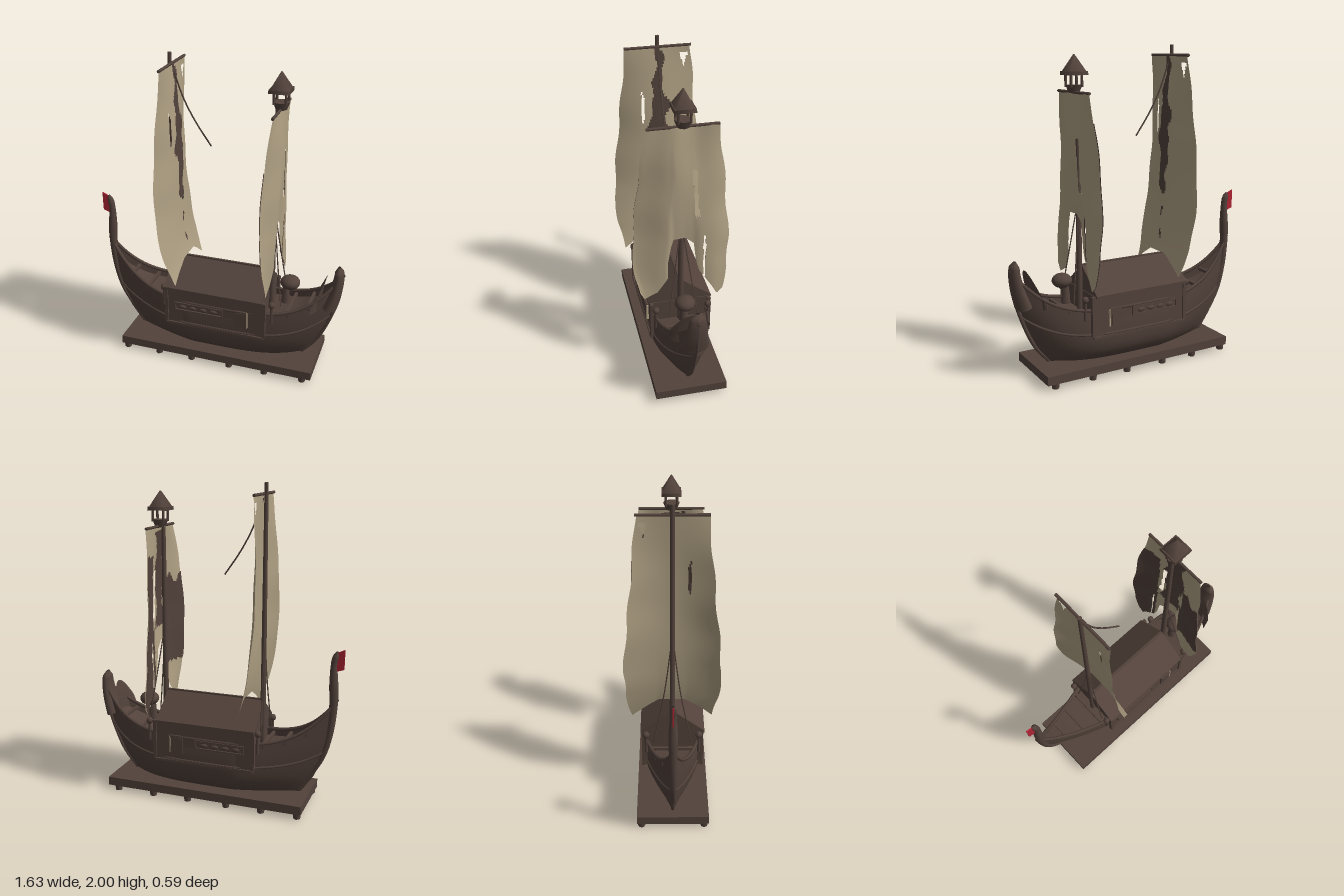
import * as THREE from 'three';

const mat = (name, color) => {
  const m = new THREE.MeshStandardMaterial({ color, side: THREE.DoubleSide });
  m.name = name;
  return m;
};

// linear interpolation through [key, value] pairs
function lut(pts, k) {
  if (k <= pts[0][0]) return pts[0][1];
  for (let i = 1; i < pts.length; i++) {
    const [a, va] = pts[i - 1], [b, vb] = pts[i];
    if (k <= b) return va + (vb - va) * (k - a) / (b - a);
  }
  return pts[pts.length - 1][1];
}

// grid surface from a point rule; cells failing "keep" are left out
function surface(nu, nv, point, keep = () => true) {
  const pos = [], idx = [];
  for (let j = 0; j <= nv; j++) for (let i = 0; i <= nu; i++) pos.push(...point(i / nu, j / nv));
  for (let j = 0; j < nv; j++) for (let i = 0; i < nu; i++) {
    if (!keep(point((i + 0.5) / nu, (j + 0.5) / nv))) continue;
    const a = j * (nu + 1) + i, b = a + 1, c = a + nu + 1, d = c + 1;
    idx.push(a, b, d, a, d, c);
  }
  const g = new THREE.BufferGeometry();
  g.setAttribute('position', new THREE.Float32BufferAttribute(pos, 3));
  g.setIndex(idx);
  g.computeVertexNormals();
  return g;
}

// round bar along points, with a radius table and optional widening in z
function taper(points, radii, wide = 1) {
  const curve = new THREE.CatmullRomCurve3(points.map(p => new THREE.Vector3(p[0], p[1], p[2] || 0)));
  return surface(10, 20, (u, v) => {
    const p = curve.getPoint(v), t = curve.getTangent(v);
    const n = new THREE.Vector3(t.y, -t.x, 0).normalize();
    const b = new THREE.Vector3().crossVectors(t, n);
    const a = u * Math.PI * 2, r = lut(radii, v);
    p.addScaledVector(n, r * Math.cos(a)).addScaledVector(b, r * wide * Math.sin(a));
    return [p.x, p.y, p.z];
  });
}

// hull levels from keel to rail: bow x, bow y, stern x, stern y, middle y, half width
const LEVELS = [
  [-0.55, 0.08, 0.57, 0.08, 0.08, 0], [-0.57, 0.10, 0.59, 0.10, 0.09, 0.125],
  [-0.64, 0.20, 0.66, 0.20, 0.16, 0.172], [-0.70, 0.33, 0.73, 0.35, 0.24, 0.186],
  [-0.75, 0.50, 0.785, 0.53, 0.33, 0.186], [-0.775, 0.72, 0.81, 0.70, 0.42, 0.178]];

function hullPoint(s, q, side) {
  const k = Math.min(q * 5, 4.9999), i = Math.floor(k), f = k - i;
  const [xb, yb, xs, ys, ym, w] = LEVELS[i].map((a, n) => a + (LEVELS[i + 1][n] - a) * f);
  const rise = Math.pow(Math.abs(s), 4.2);
  const fullness = s < 0 ? 1 - Math.pow(Math.max(0, (-s - 0.25) / 0.75), 1.25) : 1 - Math.pow(s, 3.2);
  return [xb + (xs - xb) * (s + 1) / 2, ym + ((s < 0 ? yb : ys) - ym) * rise, side * w * fullness];
}

export function createModel() {
  const wood = mat('darkWood', 0x52423b), cloth = mat('sailCloth', 0xb0a184), red = mat('redFlag', 0xb02434);
  const ship = new THREE.Group();
  ship.name = 'sailingShip';
  const add = (name, geo, m = wood, x = 0, y = 0, z = 0) => {
    const mesh = new THREE.Mesh(geo, m);
    mesh.name = name;
    mesh.position.set(x, y, z);
    ship.add(mesh);
    return mesh;
  };
  const box = (name, w, h, d, x, y, z, m) => add(name, new THREE.BoxGeometry(w, h, d), m, x, y, z);
  const cyl = (name, r1, r2, h, x, y, z, n = 10) => add(name, new THREE.CylinderGeometry(r1, r2, h, n), wood, x, y, z);
  const spread = u => Math.sin((u - 0.5) * Math.PI);

  // stand
  box('standBoard', 1.3, 0.055, 0.446, 0.03, 0.0625, 0);
  for (const side of [-1, 1]) for (const x of [-0.59, -0.36, -0.13, 0.13, 0.37, 0.62])
    cyl('standFoot', 0.026, 0.022, 0.036, x, 0.018, side * 0.195, 8);

  // hull, deck, beams, rails and keel
  add('hull', surface(48, 20, (u, v) => hullPoint(spread(u), Math.abs(2 * v - 1), v < 0.5 ? -1 : 1)));
  add('deck', surface(40, 2, (u, v) => {
    const p = hullPoint(spread(u) * 0.97, 0.9, 1);
    return [p[0], p[1], p[2] * (2 * v - 1)];
  }));
  for (const s of [-0.78, -0.62, -0.46, 0.6, 0.76]) {
    const [x, y, z] = hullPoint(s, 0.95, 1);
    box('deckBeam', 0.018, 0.02, 2 * z, x, y, 0);
  }
  for (const side of [-1, 1]) for (const [q, r] of [[1, 0.011], [0.66, 0.008]]) {
    const pts = [];
    for (let i = 0; i <= 30; i++) pts.push(new THREE.Vector3(...hullPoint(spread(i / 30), q, side)));
    add('hullRail', new THREE.TubeGeometry(new THREE.CatmullRomCurve3(pts), 60, r, 6));
  }
  add('sternKeel', taper([[0.56, 0.08], [0.66, 0.2], [0.73, 0.35], [0.785, 0.53], [0.8, 0.68]], [[0, 0.012], [1, 0.014]]));
  add('prowPost', taper([[-0.55, 0.1], [-0.69, 0.33], [-0.735, 0.5], [-0.752, 0.7], [-0.747, 0.85], [-0.747, 0.95], [-0.765, 1.02]],
    [[0, 0.012], [0.45, 0.025], [0.6, 0.029], [0.8, 0.02], [0.93, 0.021], [1, 0.006]]));
  add('sternScoop', taper([[0.73, 0.47], [0.765, 0.58], [0.782, 0.68], [0.778, 0.752]],
    [[0, 0.05], [0.5, 0.036], [0.85, 0.028], [1, 0.008]], 1.7));

  // curved shield in front of the stern
  add('sternShield', surface(16, 10, (u, v) => {
    const a = 2 * u - 1;
    const top = 0.685 - 0.12 * a * a, y = 0.46 + (top - 0.46) * v;
    return [0.68 + 0.03 * v * v - 0.045 * a * a, y, 0.015 + a * 0.12];
  }));

  // flag
  const flag = new THREE.Shape([[-0.81, 1.035], [-0.768, 1.015], [-0.758, 0.895], [-0.808, 0.912]].map(p => new THREE.Vector2(...p)));
  add('flag', new THREE.ExtrudeGeometry(flag, { depth: 0.009, bevelEnabled: false }), red, 0, 0, -0.0045);

  // cabin
  box('cabinWalls', 0.64, 0.27, 0.366, 0.025, 0.38, 0);
  const gable = new THREE.Shape([[-0.2, 0.505], [0.2, 0.505], [0.2, 0.52], [0, 0.672], [-0.2, 0.52]].map(p => new THREE.Vector2(...p)));
  const roof = add('cabinRoof', new THREE.ExtrudeGeometry(gable, { depth: 0.65, bevelEnabled: false }), wood, -0.31);
  roof.rotation.y = Math.PI / 2;
  box('roofRidge', 0.65, 0.012, 0.014, 0.015, 0.67, 0);
  for (const side of [-1, 1]) {
    const z = side * 0.186;
    for (const x of [-0.3, 0.355]) box('cornerPost', 0.022, 0.25, 0.022, x, 0.39, side * 0.182);
    box('wallSill', 0.66, 0.016, 0.016, 0.025, 0.255, z);
    for (const y of [0.36, 0.41]) box('windowRail', 0.32, 0.01, 0.014, -0.08, y, z);
    for (const x of [-0.24, 0.08]) box('windowSide', 0.01, 0.06, 0.014, x, 0.385, z);
    for (let i = 0; i < 4; i++) {
      const knob = add('windowCarving', new THREE.SphereGeometry(0.024, 10, 6), wood, -0.19 + i * 0.07, 0.383, z);
      knob.scale.set(1.1, 0.6, 0.35);
    }
    // shutter with a pale edge
    box('shutter', 0.08, 0.12, 0.018, 0.205, 0.37, z);
    box('shutterPanel', 0.06, 0.1, 0.008, 0.205, 0.37, side * 0.194);
    box('shutterEdge', 0.006, 0.11, 0.018, 0.248, 0.37, side * 0.188, cloth);
    for (const x of [-0.325, 0.4]) {
      add('sideLantern', new THREE.SphereGeometry(0.022, 8, 6), wood, x, 0.5, side * 0.165);
      cyl('lanternPost', 0.008, 0.01, 0.14, x, 0.44, side * 0.165, 6);
    }
  }

  // masts and yards
  cyl('tallMast', 0.012, 0.018, 1.68, -0.308, 1.16, 0);
  cyl('shortMast', 0.013, 0.02, 1.4, 0.355, 1.02, 0);
  for (const [x, y, len] of [[-0.295, 1.935, 0.41], [0.378, 1.725, 0.41]])
    cyl('yard', 0.009, 0.009, len, x, y, 0, 8).rotation.x = Math.PI / 2;
  const rope = (name, pts, r = 0.005) => add(name, new THREE.TubeGeometry(
    new THREE.CatmullRomCurve3(pts.map(p => new THREE.Vector3(...p))), 12, r, 5));
  rope('looseRope', [[-0.29, 1.91, 0], [-0.225, 1.73, 0], [-0.15, 1.59, 0], [-0.05, 1.445, 0]]);
  for (const side of [-1, 1]) {
    rope('stayRope', [[0.355, 1.1, 0], [0.4, 0.75, side * 0.05], [0.44, 0.46, side * 0.09]], 0.004);
    rope('stayRope', [[-0.31, 1.2, 0], [-0.315, 0.8, side * 0.05], [-0.33, 0.44, side * 0.12]], 0.004);
  }

  // lookout on the short mast
  cyl('lookoutBasket', 0.052, 0.035, 0.045, 0.375, 1.745, 0, 8);
  for (let i = 0; i < 4; i++) {
    const a = Math.PI / 4 + i * Math.PI / 2;
    cyl('lookoutPost', 0.008, 0.008, 0.09, 0.375 + 0.05 * Math.cos(a), 1.8, 0.05 * Math.sin(a), 6);
  }
  cyl('lookoutEave', 0.085, 0.088, 0.022, 0.372, 1.835, 0, 4).rotation.y = Math.PI / 4;
  cyl('lookoutRoof', 0.004, 0.078, 0.1, 0.372, 1.893, 0, 4).rotation.y = Math.PI / 4;

  // rounded canopy on the aft deck
  add('deckCanopy', new THREE.SphereGeometry(0.063, 16, 10), wood, 0.475, 0.592, 0).scale.set(1, 0.72, 1);
  cyl('canopyPost', 0.018, 0.03, 0.13, 0.45, 0.51, 0, 8);

  // sails: outline tables, torn cells removed, stains laid just off one face
  const halfWidth = top => [[0.57, 0.25], [0.75, 0.285], [0.95, 0.293], [1.2, 0.272], [1.5, 0.24], [top, 0.2]];
  const sail = (name, top, bottom, depth, keep, stain, stainSide) => {
    const w = halfWidth(top);
    const point = off => (u, v) => {
      const a = 2 * u - 1, low = lut(bottom, a), y = low + (top - low) * v;
      return [depth(a, v) + off, y, a * lut(w, y) + 0.006 * Math.sin(y * 17)];
    };
    add(name, surface(50, 60, point(0), keep), cloth);
    add(name + 'Stain', surface(50, 60, point(0.005 * stainSide), p => keep(p) && stain(p)), wood);
  };
  sail('tallSail', 1.935,
    [[-1, 0.57], [-0.7, 0.62], [-0.3, 0.69], [0.3, 0.69], [0.7, 0.63], [1, 0.57]],
    (a, v) => -0.29 + 0.08 * Math.pow(1 - v, 5) + 0.03 * Math.sin(Math.PI * v) - 0.068 * a * a * Math.sin(Math.PI * v),
    ([, y, z]) => !(y > 1.8 && y < 1.9 && Math.abs(z + 0.16) < 0.3 * (y - 1.8))
      && !(y > 1.45 && y < 1.65 && Math.abs(z - 0.1) < 0.008),
    ([, y, z]) => Math.abs(z - 0.012 * Math.sin(y * 23)) <
      lut([[1.04, 0], [1.1, 0.03], [1.25, 0.035], [1.4, 0.055], [1.6, 0.05], [1.7, 0.025], [1.93, 0.02]], y) + 0.008 * Math.sin(y * 41), 1);
  sail('shortSail', 1.725,
    [[-1, 0.6], [-0.9, 0.56], [-0.6, 0.66], [-0.38, 0.75], [-0.25, 0.95], [-0.05, 1.0], [0.22, 1.0], [0.32, 0.72], [0.6, 0.62], [0.92, 0.58], [1, 0.63]],
    (a, v) => 0.38 + 0.024 * Math.sin(Math.PI * v) - 0.06 * a * a * Math.sin(Math.PI * v) + 0.006 * Math.sin(a * 6),
    ([, y, z]) => !(y > 1.14 && y < 1.46 && Math.abs(z + 0.09 - 0.08 * (y - 1.14)) < 0.012)
      && !(y > 0.7 && y < 1.0 && Math.abs(z + 0.14) < 0.008),
    ([, y, z]) => (z > 0.08 && y > 0.82 && y < 1.38 + 0.03 * Math.sin(z * 60)) || (z < -0.11 && y < 1.55)
      || (Math.abs(z) < 0.07 + 0.02 * Math.sin(y * 19) && y > 1.1 && y < 1.7), -1);

  return ship;
}
